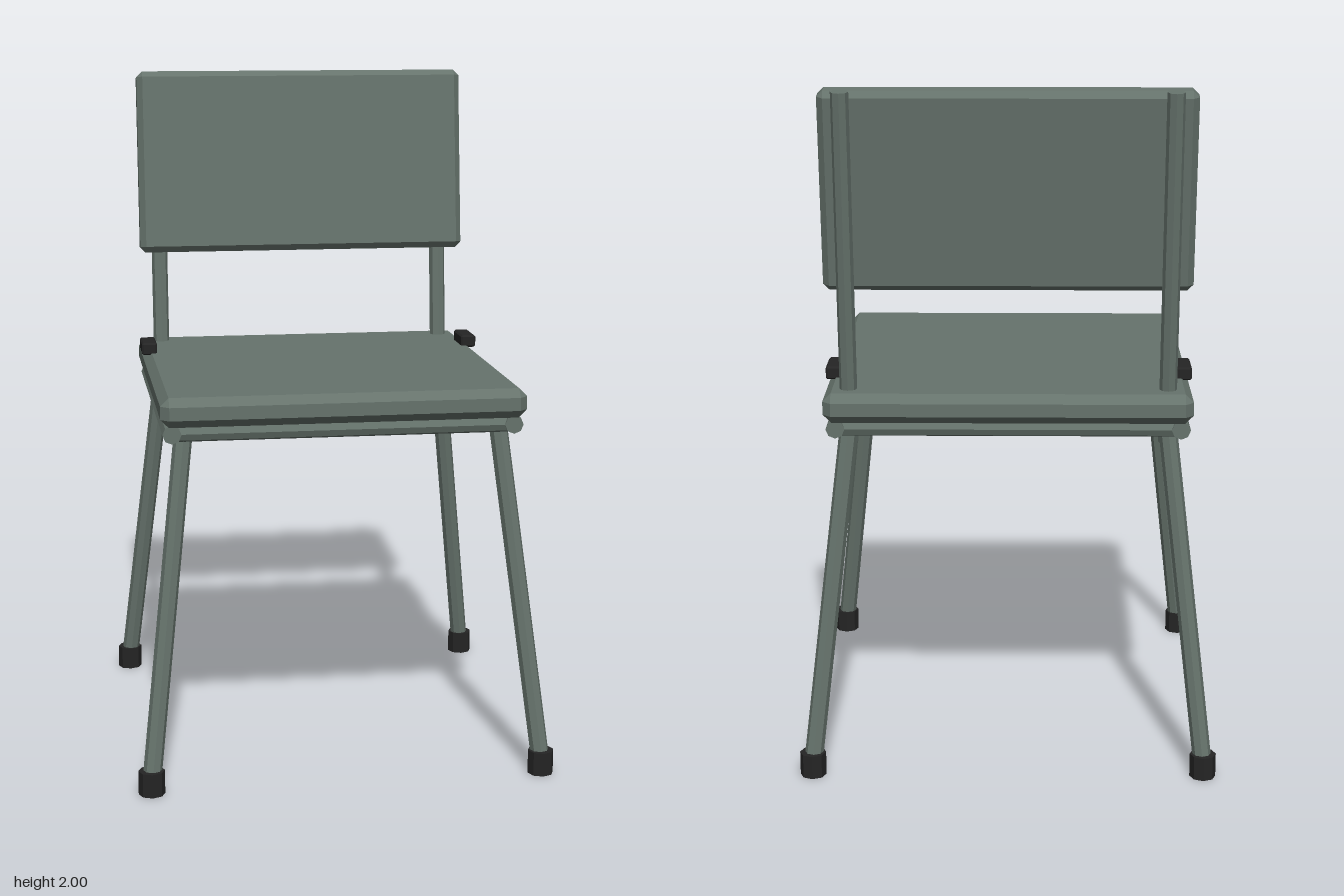
import * as THREE from 'three';
import { ConvexGeometry } from 'three/addons/geometries/ConvexGeometry.js';

const paint = new THREE.MeshStandardMaterial({ color: 0x66736c });
paint.name = 'greyGreen';
const rubber = new THREE.MeshStandardMaterial({ color: 0x252525 });
rubber.name = 'blackRubber';
const brass = new THREE.MeshStandardMaterial({ color: 0x9a8548 });
brass.name = 'brass';

export function createModel() {
  const chair = new THREE.Group();
  chair.name = 'chair';

  const add = (name, geometry, material, x = 0, y = 0, z = 0) => {
    const mesh = new THREE.Mesh(geometry, material);
    mesh.name = name;
    mesh.position.set(x, y, z);
    chair.add(mesh);
    return mesh;
  };

  // Box with every edge cut by a flat chamfer c
  const chamferBox = (w, h, d, c) => {
    const points = [];
    for (const sx of [-1, 1]) for (const sy of [-1, 1]) for (const sz of [-1, 1]) {
      for (let axis = 0; axis < 3; axis++) {
        const half = [w, h, d].map((s, i) => s / 2 - (i === axis ? 0 : c));
        points.push(new THREE.Vector3(sx * half[0], sy * half[1], sz * half[2]));
      }
    }
    return new ConvexGeometry(points);
  };

  // Faceted eight-sided rod
  const rod = (radius, length) => {
    const g = new THREE.CylinderGeometry(radius, radius, length, 8).toNonIndexed();
    g.computeVertexNormals();
    return g;
  };

  // Rod running from a to b
  const tube = (name, a, b, radius) => {
    const start = new THREE.Vector3(...a), end = new THREE.Vector3(...b);
    const dir = end.clone().sub(start);
    const mesh = add(name, rod(radius, dir.length()), paint);
    mesh.position.copy(start).add(end).multiplyScalar(0.5);
    mesh.quaternion.setFromUnitVectors(new THREE.Vector3(0, 1, 0), dir.normalize());
  };

  // Cushions
  add('seat', chamferBox(1.05, 0.086, 1.05, 0.024), paint, 0, 1.096, 0);
  const back = add('backrest', chamferBox(1.04, 0.572, 0.074, 0.018), paint, 0, 1.712, -0.459);
  back.rotation.x = -0.125;

  for (const side of [-1, 1]) {
    const sideName = side > 0 ? 'left' : 'right';
    // Frame under the seat
    tube(sideName + 'Rail', [side * 0.492, 1.03, -0.49], [side * 0.492, 1.03, 0.49], 0.027);
    tube(side > 0 ? 'frontRail' : 'backRail', [-0.48, 1.03, side * 0.462], [0.48, 1.03, side * 0.462], 0.026);
    // Backrest uprights
    tube(sideName + 'Upright', [side * 0.455, 0.98, -0.43], [side * 0.455, 1.992, -0.533], 0.025);
    // Small stops on the seat edges
    add(sideName + 'Stop', chamferBox(0.047, 0.038, 0.118, 0.005), rubber, side * 0.508, 1.152, -0.268);
    // Splayed legs with rubber feet
    for (const end of [-1, 1]) {
      const legName = (end > 0 ? 'front' : 'back') + (side > 0 ? 'Left' : 'Right');
      tube(legName + 'Leg', [side * 0.57, 0.035, end * 0.57], [side * 0.455, 1.035, end * 0.432], 0.027);
      add(legName + 'Foot', rod(0.038, 0.07), rubber, side * 0.57, 0.035, end * 0.57);
    }
  }

  // Plate on the underside of the seat
  add('undersidePlate', new THREE.BoxGeometry(0.27, 0.008, 0.17), brass, 0, 1.05, 0.25);
  add('plateMark', new THREE.BoxGeometry(0.07, 0.004, 0.02), rubber, 0, 1.045, 0.25);

  return chair;
}
